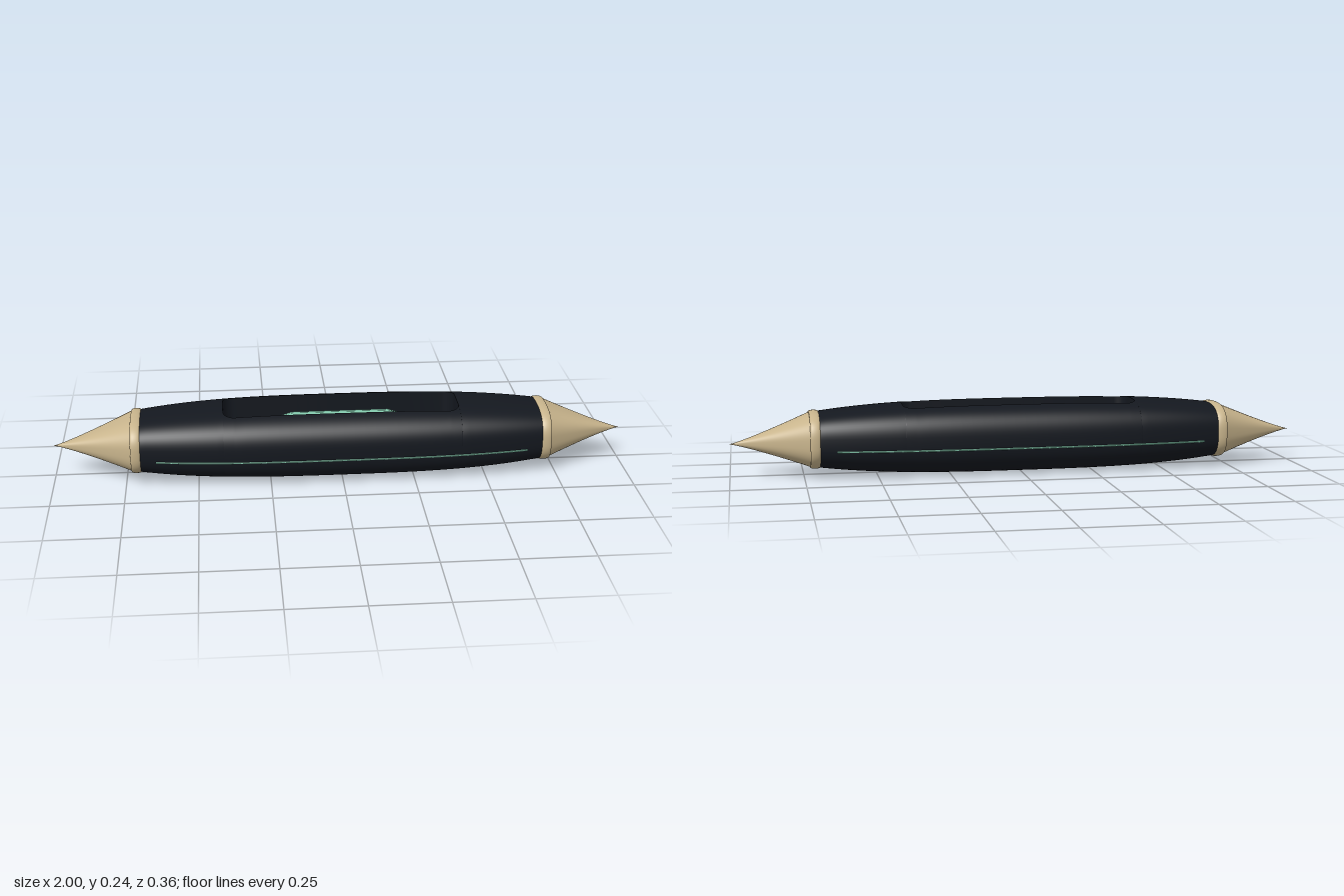
import * as THREE from 'three';

const CY = 0.1235, W = 0.175, H = 0.123, N = 2.7;   // hull centre, half width, half height, squareness
const RX = 0.41, RZ = 0.09, RC = 0.04, FLOOR = 0.085; // recess half size, corner radius, floor height

const mat = (color, flatShading = false) => new THREE.MeshStandardMaterial({ color, flatShading });
const dark = mat(0x14181f), tan = mat(0xc8b48c), green = mat(0x82c8ac), grey = mat(0x8a94a0);
const crystalMat = mat(0x82c8ac, true);

const taper = x => 1 - 0.24 * Math.pow(Math.abs(x) / 0.7, 3);
const spow = (v, p) => Math.sign(v) * Math.pow(Math.abs(v), p);

// Rounded-oval section at x, from z = gap round the underside to z = -gap
function section(x, w, h, cy = CY, gap = 0, n = 72) {
  const a0 = Math.asin(Math.pow(gap / w, N / 2));
  const pts = [];
  for (let i = 0; i <= n; i++) {
    const a = a0 + (2 * Math.PI - 2 * a0) * i / n;
    pts.push(new THREE.Vector3(x, cy + h * spow(Math.cos(a), 2 / N), w * spow(Math.sin(a), 2 / N)));
  }
  return pts;
}

// Skin a list of equal-length point rows
function loft(rows) {
  const m = rows[0].length, idx = [];
  for (let i = 0; i < rows.length - 1; i++)
    for (let j = 0; j < m - 1; j++) {
      const a = i * m + j, b = a + 1, c = a + m, d = c + 1;
      idx.push(a, b, c, b, d, c);
    }
  const g = new THREE.BufferGeometry().setFromPoints(rows.flat());
  g.setIndex(idx);
  g.computeVertexNormals();
  return g;
}

function add(parent, name, geometry, material) {
  const mesh = new THREE.Mesh(geometry, material);
  mesh.name = name;
  parent.add(mesh);
  return mesh;
}

// Half width of the recess opening at x
function recessHalf(x) {
  const d = Math.max(0, Math.abs(x) - (RX - RC));
  return RZ - RC + Math.sqrt(Math.max(0, RC * RC - d * d));
}
const topY = (x, z) => {
  const s = taper(x);
  return CY + H * s * Math.pow(1 - Math.pow(Math.abs(z) / (W * s), N), 1 / N);
};

export function createModel() {
  const model = new THREE.Group();
  model.name = 'capsule';

  // x stations along the recess, denser at its rounded corners
  const inner = [];
  for (let i = 0; i <= 8; i++) inner.push(-RX + RC * (1 - Math.cos(i / 8 * Math.PI / 2)));
  for (let i = 1; i < 20; i++) inner.push((RX - RC) * (i / 10 - 1));
  for (let i = 8; i >= 0; i--) inner.push(RX - RC * (1 - Math.cos(i / 8 * Math.PI / 2)));

  // Hull with the opening on top
  const hull = (x, gap) => section(x, W * taper(x), H * taper(x), CY, gap);
  const outer = Array.from({ length: 13 }, (_, i) => RX + (0.7 - RX) * i / 12);
  add(model, 'hull', loft([
    ...outer.slice().reverse().map(x => hull(-x, 0)),
    ...inner.map(x => hull(x, recessHalf(x))),
    ...outer.map(x => hull(x, 0)),
  ]), dark);

  // Recess walls and floor
  const rim = [
    [-RX, 0], ...inner.map(x => [x, recessHalf(x)]),
    [RX, 0], ...inner.slice().reverse().map(x => [x, -recessHalf(x)]), [-RX, 0],
  ];
  add(model, 'recessWall', loft([
    rim.map(([x, z]) => new THREE.Vector3(x, topY(x, z), z)),
    rim.map(([x, z]) => new THREE.Vector3(x, FLOOR, z)),
  ]), dark);
  const floor = new THREE.ShapeGeometry(new THREE.Shape(rim.slice(0, -1).map(([x, z]) => new THREE.Vector2(x, -z))));
  floor.rotateX(-Math.PI / 2).translate(0, FLOOR, 0);
  add(model, 'recessFloor', floor, dark);

  // Faceted crystal lying in the recess
  const core = new THREE.Group();
  core.name = 'core';
  core.position.y = 0.145;
  model.add(core);
  const profile = [[0, -0.31], [0.02, -0.31], [0.062, -0.17], [0.062, 0.17], [0.02, 0.31], [0, 0.31]];
  const crystal = new THREE.LatheGeometry(profile.map(p => new THREE.Vector2(...p)), 12);
  add(core, 'crystal', crystal.rotateZ(Math.PI / 2), crystalMat);

  // Collar and pin holding each end of the crystal
  const collarProfile = [[0, -0.022], [0.03, -0.022], [0.038, -0.014], [0.038, 0.014], [0.03, 0.022], [0, 0.022]];
  for (const s of [-1, 1]) {
    const collar = new THREE.LatheGeometry(collarProfile.map(p => new THREE.Vector2(...p)), 24);
    add(core, 'collar', collar.rotateZ(Math.PI / 2), tan).position.x = s * 0.34;
    const pin = new THREE.CylinderGeometry(0.017, 0.017, 0.105, 16);
    add(core, 'pin', pin.rotateZ(Math.PI / 2), grey).position.x = s * 0.3575;
  }

  // Thin light strip along each flank
  for (const s of [-1, 1]) {
    const path = [];
    for (let i = 0; i <= 24; i++) {
      const x = -0.642 + 1.284 * i / 24, t = taper(x);
      const z = W * t * Math.pow(1 - Math.pow((CY - 0.098) / (H * t), N), 1 / N);
      path.push(new THREE.Vector3(x, 0.098, s * (z + 0.0005)));
    }
    add(model, 'lightStrip', new THREE.TubeGeometry(new THREE.CatmullRomCurve3(path), 64, 0.0032, 8), green);
  }

  // Rounded band and pointed cap at both ends
  for (const angle of [0, Math.PI]) {
    const end = new THREE.Group();
    end.name = 'endCap';
    end.rotation.y = angle;
    model.add(end);
    const band = [];
    for (let i = 0; i <= 10; i++) {
      const a = Math.PI * i / 10, r = 0.008 * Math.pow(Math.sin(a), 0.6);
      band.push(section(0.7125 - 0.0175 * Math.cos(a), 0.129 + r, 0.0895 + r));
    }
    add(end, 'band', loft(band), tan);
    const cone = [];
    for (let i = 0; i <= 16; i++) {
      const t = i / 16, k = Math.max(Math.pow(1 - t, 1.15), 0.0005);
      cone.push(section(0.722 + 0.278 * t, 0.131 * k, 0.0935 * k, CY - 0.0105 * t));
    }
    add(end, 'cone', loft(cone), tan);
  }
  return model;
}
